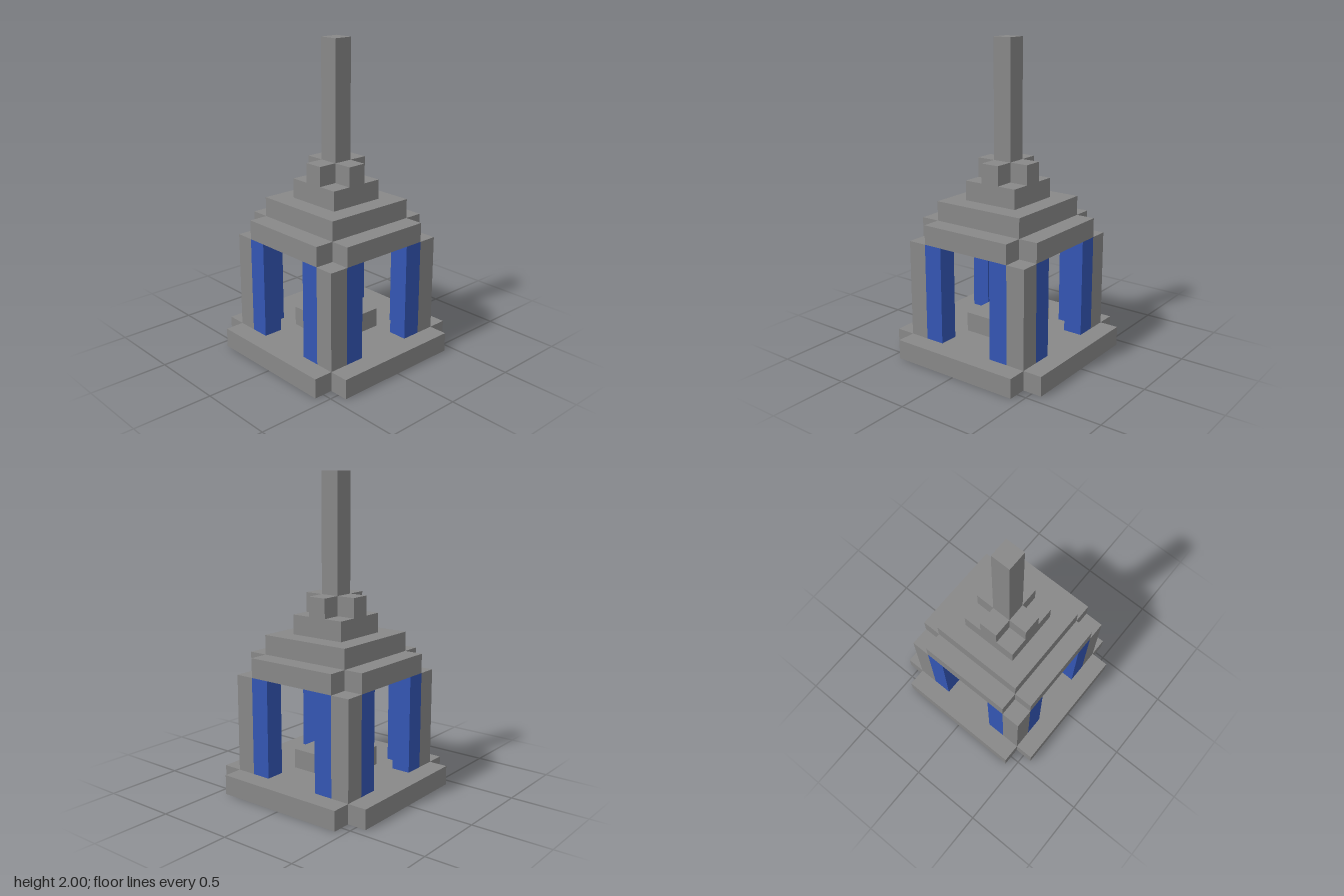
import * as THREE from 'three';

const U = 0.125; // one block

export function createModel() {
  const model = new THREE.Group();
  const mat = (name, color) => {
    const m = new THREE.MeshStandardMaterial({ color });
    m.name = name;
    return m;
  };
  const stone = mat('grey stone', 0x888888);
  const blue = mat('blue', 0x3456b4);
  const amber = mat('amber', 0x946a30);

  const add = (name, geometry, material, x, y, z) => {
    const mesh = new THREE.Mesh(geometry, material);
    mesh.name = name;
    mesh.position.set(x * U, y * U, z * U);
    model.add(mesh);
  };
  // Box measured in blocks, centred on x and z, standing on y
  const box = (name, material, w, h, d, x, y, z) =>
    add(name, new THREE.BoxGeometry(w * U, h * U, d * U), material, x, y + h / 2, z);

  // Square slab one block thick with its corners notched, optionally with a square hole
  const notchedSlab = (name, half, y, hole = 0) => {
    const a = half * U, b = (half - 1) * U;
    const shape = new THREE.Shape([
      [b, a], [-b, a], [-b, b], [-a, b], [-a, -b], [-b, -b],
      [-b, -a], [b, -a], [b, -b], [a, -b], [a, b], [b, b],
    ].map(([x, z]) => new THREE.Vector2(x, z)));
    if (hole) {
      const h = hole * U;
      shape.holes.push(new THREE.Path([[-h, -h], [-h, h], [h, h], [h, -h]]
        .map(([x, z]) => new THREE.Vector2(x, z))));
    }
    const geometry = new THREE.ExtrudeGeometry(shape, { depth: U, bevelEnabled: false });
    geometry.rotateX(-Math.PI / 2);
    add(name, geometry, stone, 0, y, 0);
  };

  // Base and central pedestal with its lamp
  notchedSlab('base', 4.5, 0);
  box('pedestalStep', stone, 3, 1, 3, 0, 1, 0);
  box('pedestalPost', stone, 1, 1, 1, 0, 2, 0);
  box('lamp', amber, 1, 1, 1, 0, 3, 0);

  // Corner posts, each with two blue pillars beside it
  for (const sx of [-1, 1]) {
    for (const sz of [-1, 1]) {
      box('cornerPost', stone, 1, 5, 1, 3 * sx, 1, 3 * sz);
      box('bluePillar', blue, 1, 5, 1, 2 * sx, 1, 3 * sz);
      box('bluePillar', blue, 1, 5, 1, 3 * sx, 1, 2 * sz);
    }
  }

  // Eaves around a blue ceiling ring with a stone centre
  notchedSlab('eaves', 3.5, 6, 2.5);
  for (const s of [-1, 1]) {
    box('ceilingRing', blue, 5, 1, 1, 0, 6, 2 * s);
    box('ceilingRing', blue, 1, 1, 3, 2 * s, 6, 0);
  }
  box('ceilingCentre', stone, 3, 1, 3, 0, 6, 0);

  // Stepped roof and spire
  box('roofStep', stone, 5, 1, 5, 0, 7, 0);
  box('spireBase', stone, 3, 1, 3, 0, 8, 0);
  notchedSlab('spireCollar', 1.5, 9);
  box('spire', stone, 1, 6, 1, 0, 10, 0);

  return model;
}
